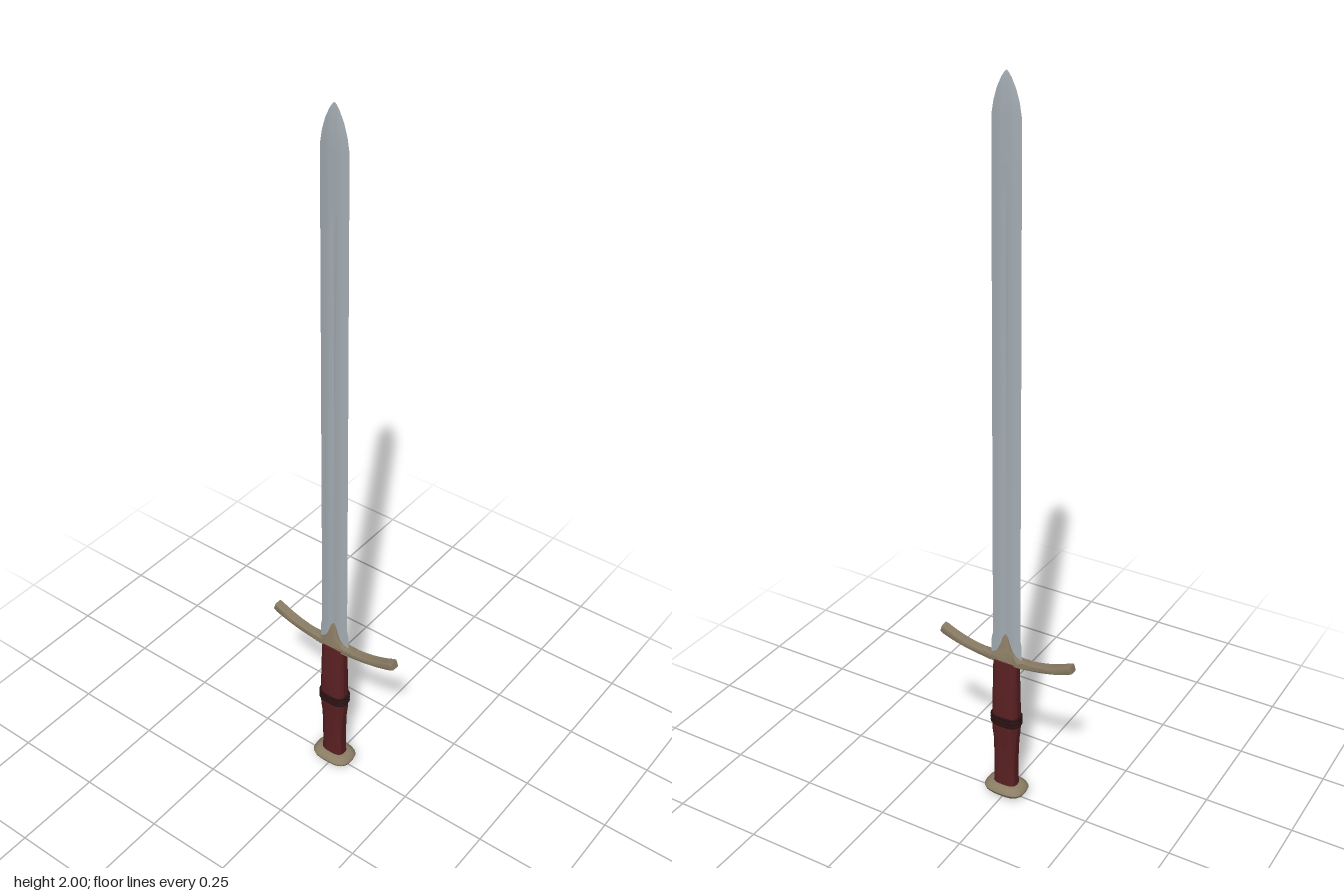
import * as THREE from 'three';
import { toCreasedNormals } from 'three/addons/utils/BufferGeometryUtils.js';

const material = (name, color) => new THREE.MeshStandardMaterial({ name, color });

// Joins equal rings of [x, y, z] corners, listed bottom to top, into a smooth skin
function skin(rings, crease) {
  const n = rings[0].length, index = [];
  for (let r = 0; r < rings.length - 1; r++) {
    for (let i = 0; i < n; i++) {
      const a = r * n + i, b = r * n + (i + 1) % n;
      index.push(a, a + n, b, b, a + n, b + n);
    }
  }
  const geo = new THREE.BufferGeometry();
  geo.setAttribute('position', new THREE.Float32BufferAttribute(rings.flat(2), 3));
  geo.setIndex(index);
  return toCreasedNormals(geo, crease);
}

// Rounded-oblong solid from levels of [y, half width, half depth]
function oblong(levels, power, crease = 0.7) {
  const bend = v => Math.sign(v) * Math.abs(v) ** power;
  const first = levels[0], last = levels[levels.length - 1];
  const closed = [[first[0], 1e-4, 1e-4], ...levels, [last[0], 1e-4, 1e-4]];
  return skin(closed.map(([y, w, d]) => Array.from({ length: 40 }, (_, i) => {
    const a = i / 40 * Math.PI * 2;
    return [w * bend(Math.cos(a)), y, d * bend(Math.sin(a))];
  })), crease);
}

// Blade: sharp edges, a shallow central fuller and a rounded point
function bladeGeometry() {
  const levels = [
    [0.445, 0.047, 1], [0.5, 0.046, 1], [0.52, 0.042, 1], [1.2, 0.041, 1], [1.7, 0.04, 1],
    [1.78, 0.04, 0], [1.9, 0.039, 0], [1.93, 0.034, 0], [1.96, 0.025, 0],
    [1.985, 0.013, 0], [1.995, 0.006, 0], [2, 0.0005, 0]
  ];
  return skin(levels.map(([y, w, fuller]) => {
    const t = 0.0048 * Math.min(1, w / 0.035);
    const half = [[1, 0], [0.6, 0.6 * t], [0.25, t], [0, t * (fuller ? 0.45 : 1.05)], [-0.25, t], [-0.6, 0.6 * t]];
    return [...half.map(([x, z]) => [x * w, y, z]), ...half.map(([x, z]) => [-x * w, y, -z])];
  }), 0.5);
}

// Crossguard: upswept arms with flared ends and a pointed centre over the blade
function guardGeometry() {
  const s = new THREE.Shape();
  s.moveTo(0, 0.436);
  s.lineTo(0.035, 0.439);
  s.quadraticCurveTo(0.12, 0.443, 0.192, 0.470);
  s.lineTo(0.203, 0.477);
  s.lineTo(0.197, 0.496);
  s.lineTo(0.188, 0.494);
  s.quadraticCurveTo(0.12, 0.46, 0.045, 0.459);
  s.quadraticCurveTo(0.022, 0.465, 0.012, 0.505);
  s.quadraticCurveTo(0.007, 0.525, 0, 0.528);
  s.quadraticCurveTo(-0.007, 0.525, -0.012, 0.505);
  s.quadraticCurveTo(-0.022, 0.465, -0.045, 0.459);
  s.quadraticCurveTo(-0.12, 0.46, -0.188, 0.494);
  s.lineTo(-0.197, 0.496);
  s.lineTo(-0.203, 0.477);
  s.lineTo(-0.192, 0.470);
  s.quadraticCurveTo(-0.12, 0.443, -0.035, 0.439);
  s.closePath();
  const geo = new THREE.ExtrudeGeometry(s, {
    depth: 0.019, curveSegments: 10, bevelEnabled: true,
    bevelThickness: 0.0025, bevelSize: 0.002, bevelOffset: -0.002, bevelSegments: 2
  });
  geo.translate(0, 0, -0.0095);
  // Thin the centre point towards its top
  const p = geo.attributes.position;
  for (let i = 0; i < p.count; i++) {
    if (Math.abs(p.getX(i)) > 0.06) continue;
    const k = THREE.MathUtils.clamp((p.getY(i) - 0.46) / 0.068, 0, 1);
    p.setZ(i, p.getZ(i) * (1.15 - 0.6 * k));
  }
  return toCreasedNormals(geo, 0.6);
}

export function createModel() {
  const steel = material('steel', 0xa6afb5);
  const bronze = material('bronze', 0x8b7d65);
  const leather = material('red leather', 0x5a2022);
  const dark = material('dark leather', 0x2a1213);

  const sword = new THREE.Group();
  sword.name = 'sword';
  const add = (name, geo, mat) => {
    const mesh = new THREE.Mesh(geo, mat);
    mesh.name = name;
    sword.add(mesh);
  };

  add('blade', bladeGeometry(), steel);
  add('crossguard', guardGeometry(), bronze);

  // Grip swells in the middle and narrows below the band
  add('grip', oblong([
    [0.03, 0.036, 0.023], [0.06, 0.034, 0.022], [0.13, 0.034, 0.022], [0.19, 0.036, 0.023],
    [0.215, 0.039, 0.025], [0.25, 0.04, 0.027], [0.3, 0.039, 0.026], [0.36, 0.038, 0.024],
    [0.42, 0.038, 0.019], [0.445, 0.038, 0.017]
  ], 0.7), leather);

  // Three turns of cord round the grip
  for (let i = 0; i < 3; i++) {
    const y = 0.241 + i * 0.0105;
    add('gripBand' + (i + 1), oblong([
      [y, 0.041, 0.027], [y + 0.003, 0.044, 0.029], [y + 0.0075, 0.044, 0.029], [y + 0.0105, 0.041, 0.027]
    ], 0.7), dark);
  }

  // Flattened pommel
  add('pommel', oblong([
    [0, 0.022, 0.013], [0.004, 0.038, 0.026], [0.011, 0.052, 0.036], [0.018, 0.059, 0.042],
    [0.024, 0.061, 0.044], [0.031, 0.058, 0.041], [0.037, 0.049, 0.033], [0.04, 0.038, 0.025]
  ], 0.7), bronze);

  return sword;
}
